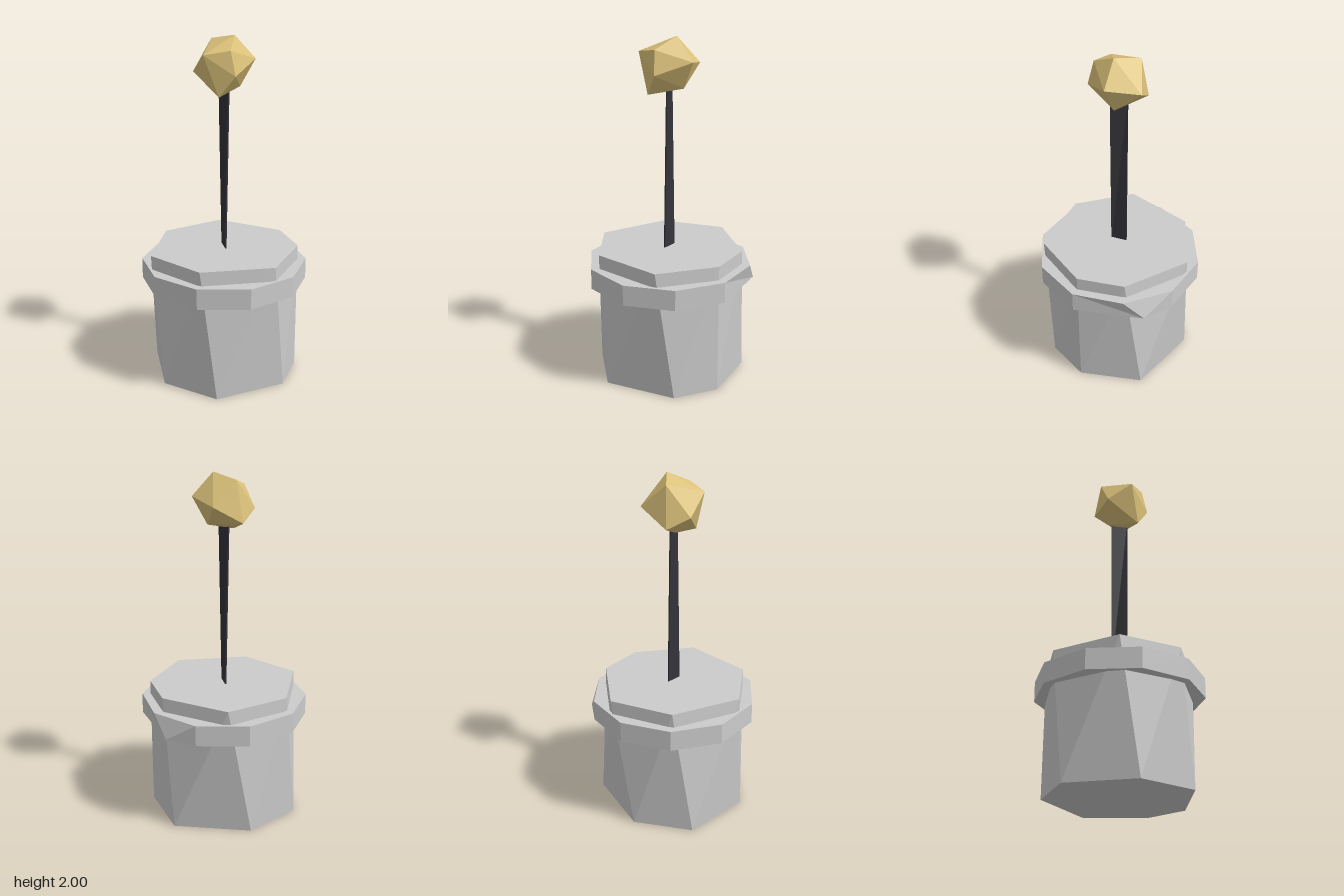
import * as THREE from 'three';
import { ConvexGeometry } from 'three/addons/geometries/ConvexGeometry.js';

const material = (color) => new THREE.MeshStandardMaterial({ color, flatShading: true });

function addMesh(group, name, geometry, mat) {
  const mesh = new THREE.Mesh(geometry, mat);
  mesh.name = name;
  group.add(mesh);
}

// Capped prism between two rings of [x, y, z], ordered from +z towards +x.
// Sides in "flipped" are split along their other diagonal.
function loft(bottom, top, flipped = []) {
  const n = bottom.length;
  const pos = [];
  const tri = (...corners) => corners.forEach((p) => pos.push(...p));
  for (let i = 0; i < n; i++) {
    const j = (i + 1) % n;
    if (flipped.includes(i)) {
      tri(top[i], bottom[i], bottom[j]);
      tri(top[i], bottom[j], top[j]);
    } else {
      tri(top[i], bottom[i], top[j]);
      tri(bottom[i], bottom[j], top[j]);
    }
    if (i > 0 && j > 0) {
      tri(top[0], top[i], top[j]);
      tri(bottom[0], bottom[j], bottom[i]);
    }
  }
  const geometry = new THREE.BufferGeometry();
  geometry.setAttribute('position', new THREE.Float32BufferAttribute(pos, 3));
  geometry.computeVertexNormals();
  return geometry;
}

const atHeight = (points, y) => points.map(([x, z]) => [x, y, z]);

export function createModel() {
  const model = new THREE.Group();
  const grey = material(0xcccccc);

  // Uneven seven-sided pot, twisted from foot to rim
  const foot = [[0.13, 0.41], [0.35, 0.25], [0.43, -0.11], [0.1, -0.41],
    [-0.25, -0.37], [-0.43, 0], [-0.29, 0.33]];
  const rim = [[0.03, 0.445], [0.35, 0.255], [0.43, -0.01], [0.24, -0.38],
    [-0.14, -0.41], [-0.435, -0.11], [-0.35, 0.255]];
  addMesh(model, 'potBody', loft(atHeight(foot, 0), atHeight(rim, 0.77)), grey);

  // Ten-sided collar with one lower corner knocked sideways
  const collar = [];
  for (let i = 0; i < 10; i++) {
    const a = (i + 0.5) * Math.PI / 5;
    collar.push([0.482 * Math.sin(a), 0.482 * Math.cos(a)]);
  }
  const collarFoot = collar.map((p) => [...p]);
  collarFoot[2] = [0.482, -0.12];
  addMesh(model, 'collar', loft(atHeight(collarFoot, 0.57), atHeight(collar, 0.69), [1]), grey);

  // Thin flat stem that twists slightly on its way up
  const section = (halfWidth, halfThick, angle) =>
    [[1, 1], [1, -1], [-1, -1], [-1, 1]].map(([u, v]) => {
      const x = u * halfThick, z = v * halfWidth;
      return [x * Math.cos(angle) - z * Math.sin(angle), x * Math.sin(angle) + z * Math.cos(angle)];
    });
  addMesh(model, 'stem', loft(
    atHeight(section(0.047, 0.004, 0.4), 0.74),
    atHeight(section(0.05, 0.004, 0.03), 1.76)), material(0x33333a));

  // Uneven twenty-faced knob
  const knob = [
    [0.05, 2, 0.03], [0, 1.97, -0.118], [-0.05, 1.935, 0.13], [0.155, 1.868, 0.085],
    [-0.165, 1.91, 0.035], [0.15, 1.837, -0.11], [-0.135, 1.8, -0.105], [-0.015, 1.737, -0.16],
    [-0.042, 1.8, 0.165], [0.09, 1.712, 0.03], [-0.1, 1.68, 0.09], [-0.03, 1.69, -0.05],
  ].map((p) => new THREE.Vector3(...p));
  addMesh(model, 'knob', new ConvexGeometry(knob), material(0xdcc27a));

  return model;
}
